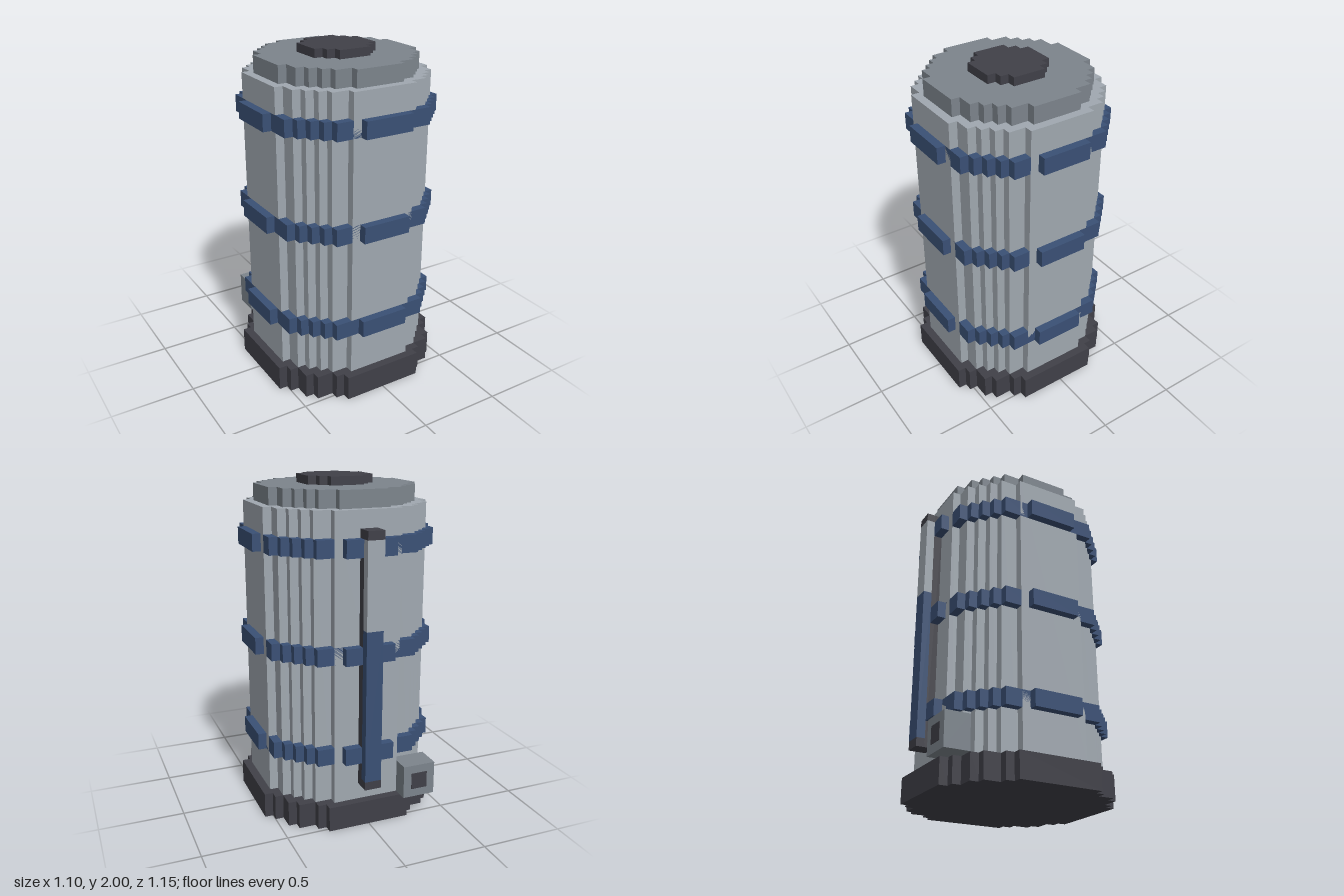
import * as THREE from 'three';

const S = 0.05; // cell size
const AXIS_Z = 0.025; // the drum sits slightly forward of the tap and gauge

const mat = (name, color) => Object.assign(new THREE.MeshStandardMaterial({ color }), { name });

// Stepped outline of a disc made of square cells, radius in cells
function discOutline(radius) {
  const width = (j) => {
    let w = 0;
    while ((w + 0.5) ** 2 + (j + 0.5) ** 2 <= radius * radius) w++;
    return w;
  };
  const quarter = [];
  for (let j = 0; width(j) > 0; j++) {
    const w = width(j), next = width(j + 1);
    if (w === next) continue;
    quarter.push([w, j + 1]);
    if (next > 0) quarter.push([next, j + 1]);
  }
  const back = [...quarter].reverse();
  return [
    ...quarter,
    ...back.map(([x, y]) => [-x, y]),
    ...quarter.map(([x, y]) => [-x, -y]),
    ...back.map(([x, y]) => [x, -y]),
  ].map(([x, y]) => new THREE.Vector2(x * S, y * S));
}

export function createModel() {
  const shell = mat('light grey shell', 0xa0a8b0);
  const steel = mat('mid grey steel', 0x7c848c);
  const dark = mat('dark charcoal', 0x404048);
  const blue = mat('navy blue', 0x3a5075);

  const model = new THREE.Group();
  model.name = 'tank';

  function add(name, geometry, material) {
    const mesh = new THREE.Mesh(geometry, material);
    mesh.name = name;
    model.add(mesh);
    return mesh;
  }

  // Stepped disc between two heights, optionally hollow
  function disc(name, radius, y0, y1, material, holeRadius = 0) {
    const shape = new THREE.Shape(discOutline(radius));
    if (holeRadius) shape.holes.push(new THREE.Path(discOutline(holeRadius)));
    const geometry = new THREE.ExtrudeGeometry(shape, { depth: y1 - y0, bevelEnabled: false });
    geometry.rotateX(-Math.PI / 2).translate(0, y0, AXIS_Z);
    return add(name, geometry, material);
  }

  // Box given by its lower and upper corners
  function box(name, [x0, y0, z0], [x1, y1, z1], material) {
    const geometry = new THREE.BoxGeometry(x1 - x0, y1 - y0, z1 - z0);
    geometry.translate((x0 + x1) / 2, (y0 + y1) / 2, (z0 + z1) / 2);
    return add(name, geometry, material);
  }

  // Drum
  disc('base', 11.5, 0, 0.15, dark);
  disc('body', 10.5, 0.15, 1.85, shell);
  disc('lid', 9, 1.85, 1.95, steel);
  disc('lidKnob', 4, 1.95, 2, dark);

  // Hoops
  [0.4, 1.0, 1.6].forEach((y, i) => disc(`hoop${i + 1}`, 11, y, y + 0.1, blue, 10.5));

  // Level gauge on the back
  box('gaugeBacking', [-0.05, 0.25, -0.525], [0.05, 1.75, -0.475], dark);
  box('gaugeBottomCap', [-0.05, 0.25, -0.575], [0.05, 0.3, -0.525], dark);
  box('gaugeFluid', [-0.05, 0.3, -0.575], [0.05, 1.2, -0.525], blue);
  box('gaugeTube', [-0.05, 1.2, -0.575], [0.05, 1.7, -0.525], shell);
  box('gaugeTopCap', [-0.05, 1.7, -0.575], [0.05, 1.75, -0.525], dark);

  // Outlet beside the gauge
  box('outletBlock', [-0.4, 0.15, -0.575], [-0.2, 0.35, -0.425], steel);
  box('outletOpening', [-0.35, 0.2, -0.578], [-0.25, 0.3, -0.574], dark);

  return model;
}
